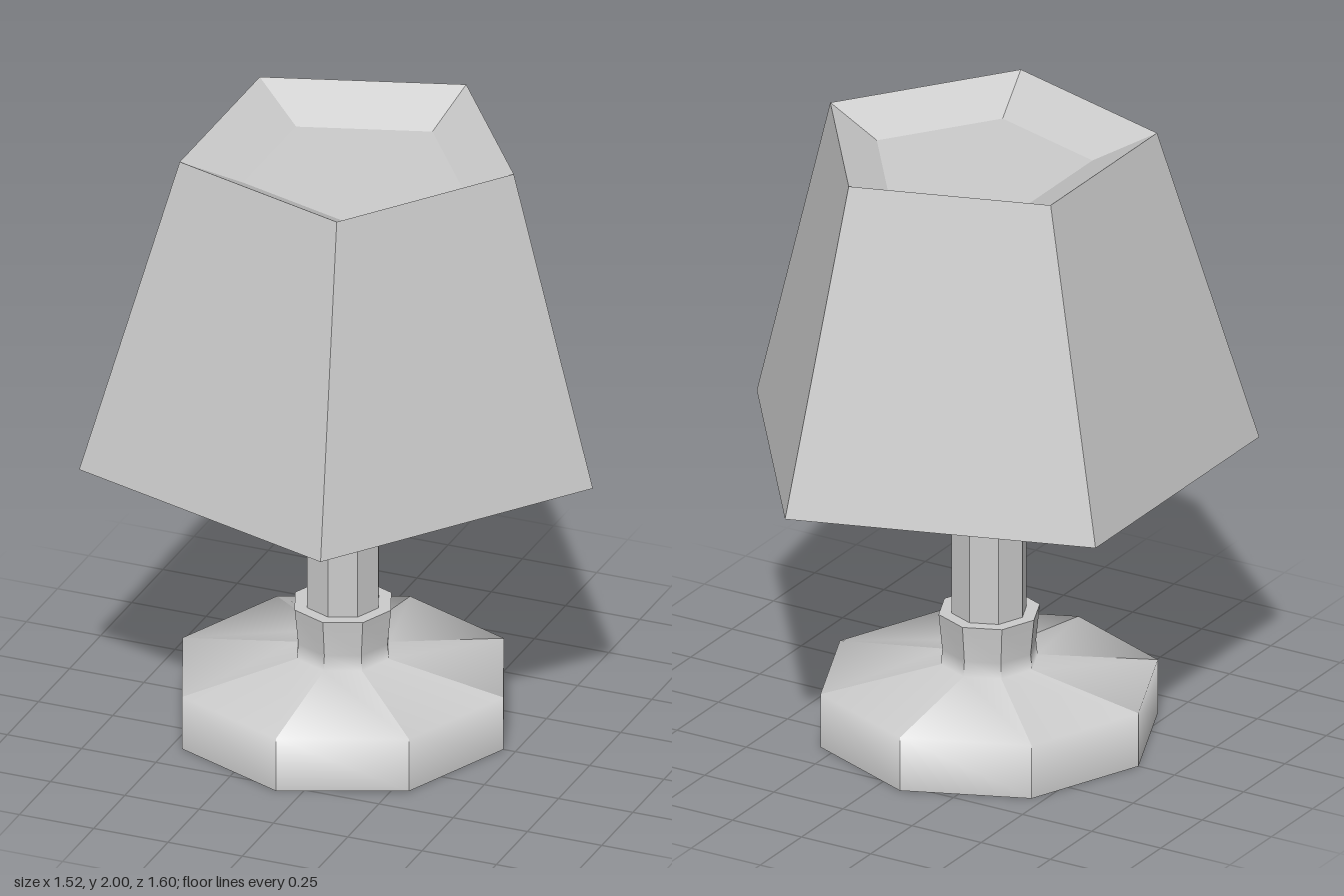
import * as THREE from 'three';
import { mergeGeometries } from 'three/addons/utils/BufferGeometryUtils.js';

const material = new THREE.MeshStandardMaterial({ color: 0xcccccc });
const AXIS_X = -0.08; // base and stem stand on this line
const toPoints = (list) => list.map(([r, y]) => new THREE.Vector2(r, y));

// Faceted body of revolution: flat around, smooth along the profile
function facetedLathe(profile, sides) {
  const step = (Math.PI * 2) / sides;
  const strips = [];
  for (let i = 0; i < sides; i++) {
    const strip = new THREE.LatheGeometry(toPoints(profile), 1, i * step, step);
    strip.computeVertexNormals();
    strips.push(strip);
  }
  return mergeGeometries(strips);
}

function addMesh(parent, name, geometry, x = 0) {
  const mesh = new THREE.Mesh(geometry, material);
  mesh.name = name;
  mesh.position.x = x;
  parent.add(mesh);
}

export function createModel() {
  const lamp = new THREE.Group();
  lamp.name = 'tableLamp';

  // Octagonal foot, rising through a shallow cone into the collar
  const foot = [[0.54, 0], [0.54, 0.18], [0.155, 0.24], [0.15, 0.29], [0.162, 0.41]];
  addMesh(lamp, 'base', facetedLathe(foot, 8), AXIS_X);
  addMesh(lamp, 'baseUnderside', facetedLathe([[0, 0], [0.54, 0]], 8), AXIS_X);
  addMesh(lamp, 'collarTop', facetedLathe([[0.162, 0.41], [0.12, 0.41]], 8), AXIS_X);

  // Octagonal stem up to the underside of the shade
  addMesh(lamp, 'stem', facetedLathe([[0.12, 0.4], [0.12, 1.056]], 8), AXIS_X);

  // Five-sided shade, recessed below and above
  const shadeProfile = [[0, 1.055], [0.643, 1.055], [0.841, 0.962], [0.547, 2], [0.361, 1.91], [0, 1.91]];
  const shade = new THREE.LatheGeometry(toPoints(shadeProfile), 5).rotateY(Math.PI / 2).toNonIndexed();
  const p = shade.attributes.position;
  for (let i = 0; i < p.count; i++) {
    // centre each ring between its point and its flat side
    p.setX(i, p.getX(i) - 0.0955 * Math.hypot(p.getX(i), p.getZ(i)));
  }
  shade.computeVertexNormals();
  addMesh(lamp, 'shade', shade);

  return lamp;
}
